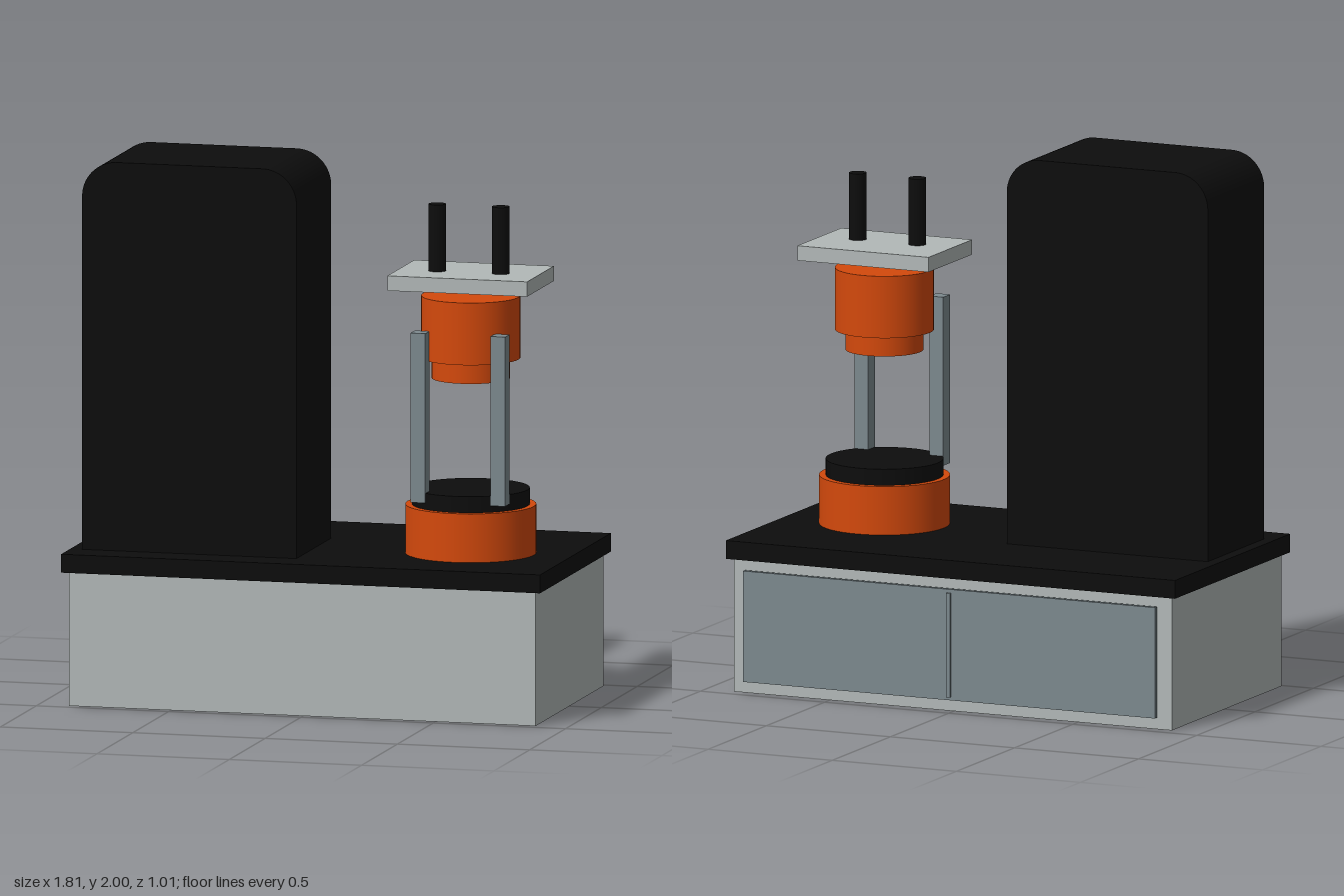
import * as THREE from 'three';

const mat = (name, color) => {
  const m = new THREE.MeshStandardMaterial({ color });
  m.name = name;
  return m;
};

export function createModel() {
  const black = mat('matte black', 0x0d0d0d);
  const grey = mat('light grey', 0xb2b9b8);
  const steel = mat('steel', 0x7d8a8f);
  const orange = mat('orange', 0xd4490c);
  const model = new THREE.Group();
  model.name = 'machine';

  const add = (name, geometry, material) => {
    const mesh = new THREE.Mesh(geometry, material);
    mesh.name = name;
    model.add(mesh);
    return mesh;
  };
  // Box given by its extents on each axis
  const box = (name, material, [x0, x1], [y0, y1], [z0, z1]) =>
    add(name, new THREE.BoxGeometry(x1 - x0, y1 - y0, z1 - z0), material)
      .position.set((x0 + x1) / 2, (y0 + y1) / 2, (z0 + z1) / 2);
  // Upright cylinder given by its centre, radius and height range
  const cylinder = (name, material, x, z, r, y0, y1) =>
    add(name, new THREE.CylinderGeometry(r, r, y1 - y0, 48), material)
      .position.set(x, (y0 + y1) / 2, z);

  // Cabinet and worktop
  box('cabinet', grey, [-0.882, 0.882], [0.002, 0.497], [-0.463, 0.48]);
  box('worktop', black, [-0.905, 0.905], [0.497, 0.565], [-0.485, 0.505]);

  // Rear door panel with its centre divider
  box('doorPanel', steel, [-0.83, 0.83], [0.048, 0.46], [-0.497, -0.479]);
  box('doorDivider', steel, [-0.008, 0.008], [0.06, 0.447], [-0.507, -0.497]);

  // Tower with rounded top corners, reaching down through the cabinet
  const [l, r, top, rad] = [-0.86, -0.05, 2, 0.13];
  const outline = new THREE.Shape();
  outline.moveTo(l, 0).lineTo(r, 0).lineTo(r, top - rad);
  outline.absarc(r - rad, top - rad, rad, 0, Math.PI / 2, false);
  outline.absarc(l + rad, top - rad, rad, Math.PI / 2, Math.PI, false);
  outline.closePath();
  add('tower', new THREE.ExtrudeGeometry(outline,
    { depth: 0.484, bevelEnabled: false, curveSegments: 16 }), black)
    .position.z = -0.107;

  // Lower turntable and raised upper head
  const cx = 0.526, cz = 0.071;
  cylinder('turntableBase', orange, cx, cz, 0.239, 0.565, 0.745);
  cylinder('turntableDisc', black, cx, cz, 0.215, 0.745, 0.805);
  cylinder('headNozzle', orange, cx, cz, 0.143, 1.21, 1.285);
  cylinder('headBody', orange, cx, cz, 0.181, 1.285, 1.515);

  // Support posts, top plate and pins
  for (const x of [0.375, 0.677])
    box('supportPost', steel, [x - 0.028, x + 0.028], [0.77, 1.396], [0.193, 0.253]);
  box('topPlate', grey, [0.262, 0.79], [1.55, 1.605], [-0.115, 0.261]);
  for (const x of [0.406, 0.646])
    cylinder('pin', black, x, 0.097, 0.032, 1.605, 1.852);

  return model;
}
